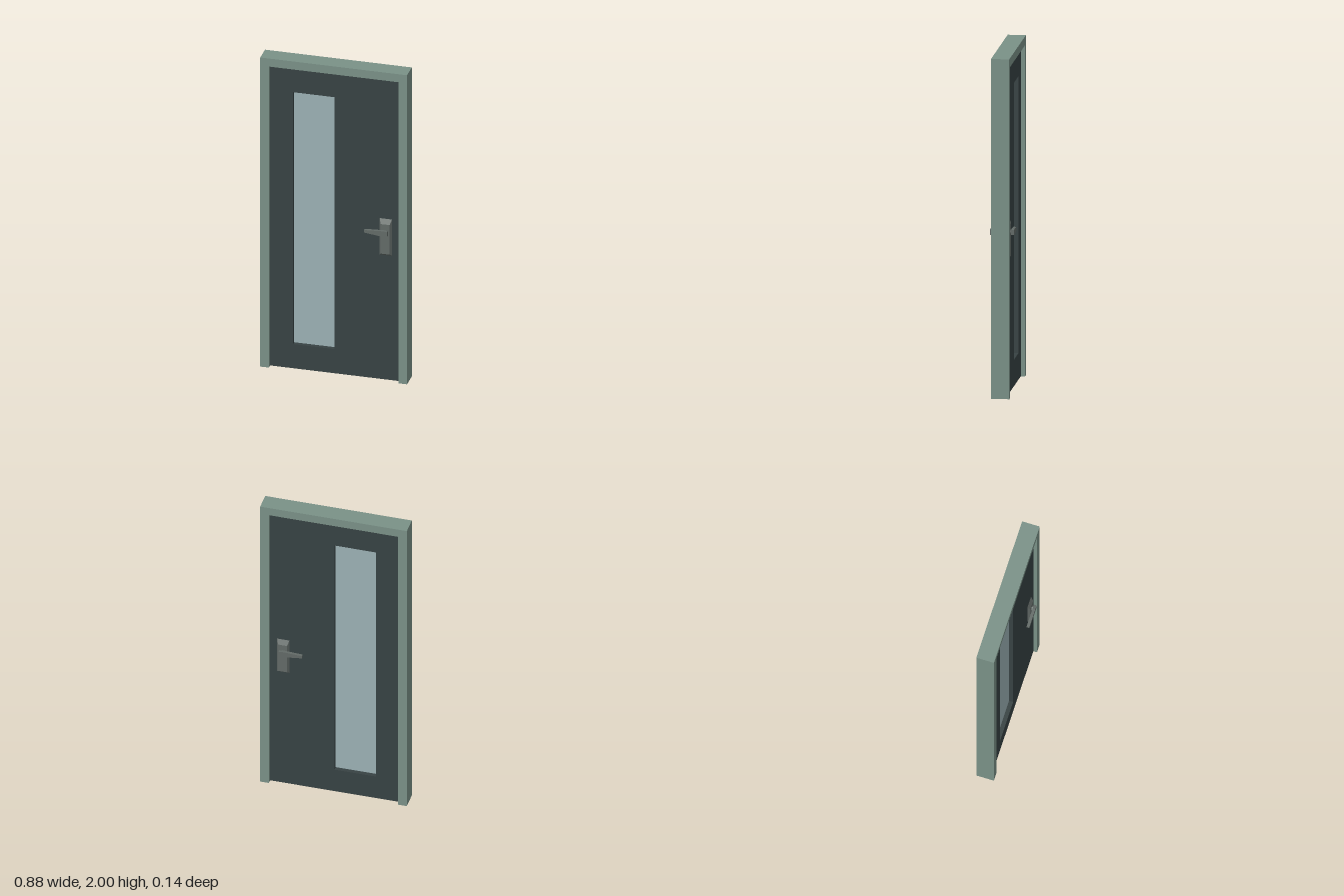
import * as THREE from 'three';

const paint = (color) => new THREE.MeshStandardMaterial({ color, flatShading: true });

// Closed outline from a list of [x, y] corners
const outline = (pts) => new THREE.Shape(pts.map(([x, y]) => new THREE.Vector2(x, y)));

// Flat slab between two z values
function slab(shape, z0, z1) {
  const geo = new THREE.ExtrudeGeometry(shape, { depth: z1 - z0, bevelEnabled: false });
  return geo.translate(0, 0, z0);
}

// Box whose +z face shrinks: sides and bottom a little, top more
function bevelledPlate(w, h, d, side, top, bottom) {
  const geo = new THREE.BoxGeometry(w, h, d);
  const p = geo.attributes.position;
  for (let i = 0; i < p.count; i++) {
    if (p.getZ(i) < 0) continue;
    p.setX(i, p.getX(i) - Math.sign(p.getX(i)) * side);
    p.setY(i, p.getY(i) + (p.getY(i) > 0 ? -top : bottom));
  }
  geo.computeVertexNormals();
  return geo;
}

export function createModel() {
  const root = new THREE.Group();
  const frameMat = paint(0x7a9187), doorMat = paint(0x374243);
  const glassMat = paint(0x9bb0b4), handleMat = paint(0x626a67);

  const add = (parent, name, geo, mat) => {
    const mesh = new THREE.Mesh(geo, mat);
    mesh.name = name;
    parent.add(mesh);
    return mesh;
  };

  // Surround: two jambs and a header in one piece
  const surround = outline([
    [-0.442, 0], [-0.39, 0], [-0.39, 1.948], [0.39, 1.948],
    [0.39, 0], [0.442, 0], [0.442, 2], [-0.442, 2],
  ]);
  add(root, 'doorFrame', slab(surround, -0.055, 0.052), frameMat);

  // Leaf with a tall window opening
  const leaf = outline([[-0.39, 0.004], [0.39, 0.004], [0.39, 1.948], [-0.39, 1.948]]);
  leaf.holes.push(outline([[-0.25, 0.16], [-0.25, 1.79], [0, 1.79], [0, 0.16]]));
  add(root, 'doorLeaf', slab(leaf, -0.033, 0.03), doorMat);

  // Window pane set in the middle of the leaf
  add(root, 'windowPane', new THREE.BoxGeometry(0.25, 1.63, 0.012), glassMat)
    .position.set(-0.125, 0.975, -0.0015);

  // Tapered lever outline, wide at the neck
  const leverShape = outline([
    [0.187, 0.958], [0.30, 0.944], [0.327, 0.947], [0.327, 0.977], [0.30, 0.98], [0.187, 0.974],
  ]);

  // One handle on each face
  for (const s of [1, -1]) {
    const handle = new THREE.Group();
    handle.name = s > 0 ? 'frontHandle' : 'backHandle';
    root.add(handle);

    const face = s > 0 ? 0.03 : -0.033;
    const plate = add(handle, 'backplate', bevelledPlate(0.074, 0.235, 0.016, 0.01, 0.03, 0.014), handleMat);
    plate.position.set(0.309, 0.926, face + s * 0.008);
    if (s < 0) plate.rotation.y = Math.PI;

    const neck = add(handle, 'leverNeck', new THREE.CylinderGeometry(0.016, 0.016, 0.02, 8), handleMat);
    neck.rotation.x = Math.PI / 2;
    neck.position.set(0.309, 0.962, s * 0.049);

    add(handle, 'lever', s > 0 ? slab(leverShape, 0.053, 0.07) : slab(leverShape, -0.07, -0.053), handleMat);
  }
  return root;
}
